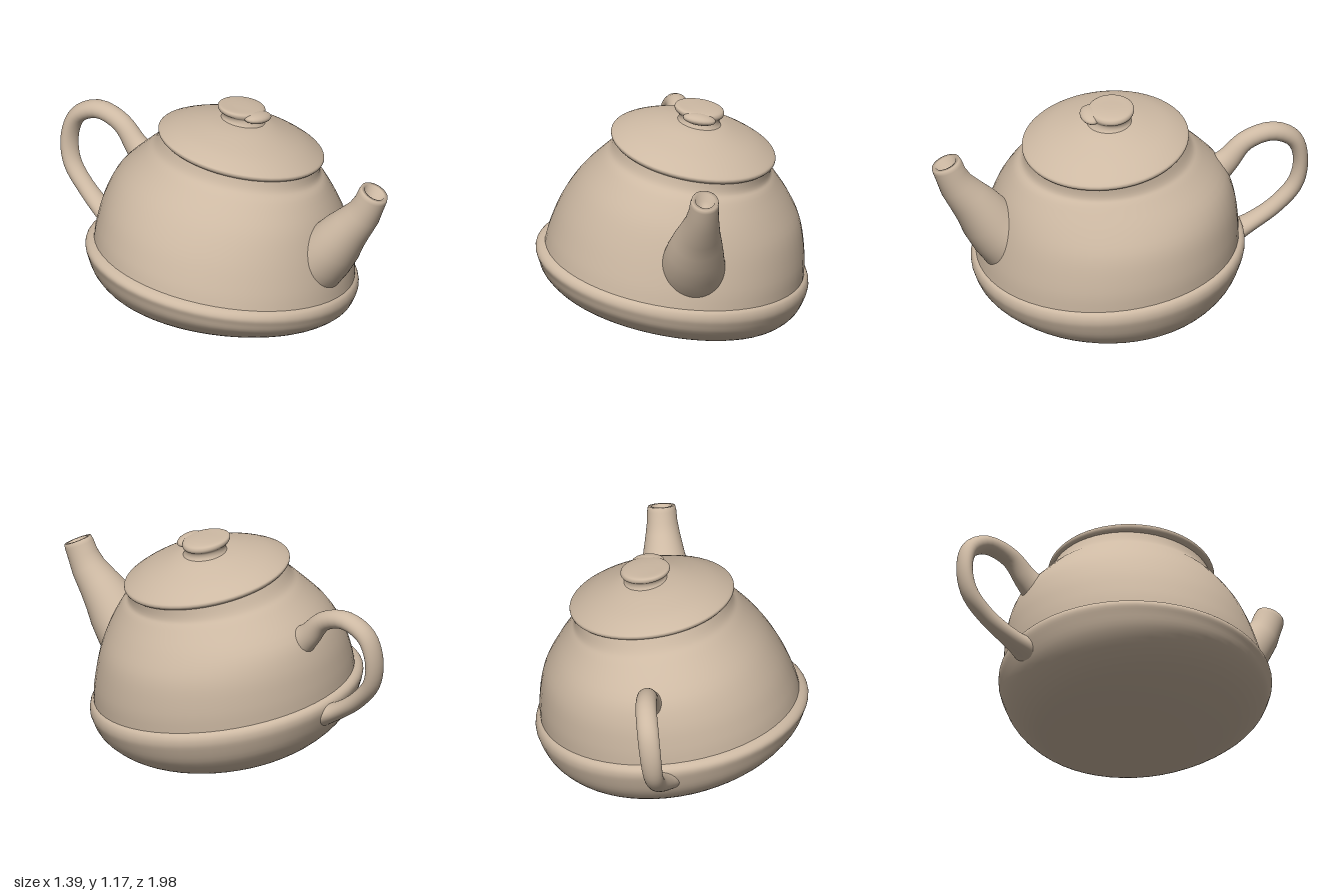
import * as THREE from 'three';

const clay = new THREE.MeshStandardMaterial({ color: 0xcdb9a3, roughness: 0.9, side: THREE.DoubleSide });
const SIDES = 56;

// Skin a list of closed rings (each an array of SIDES points, ordered upward)
function loft(name, rings) {
  const pos = [], idx = [];
  rings.forEach((ring) => ring.forEach((p) => pos.push(p.x, p.y, p.z)));
  for (let i = 0; i < rings.length - 1; i++) {
    for (let j = 0; j < SIDES; j++) {
      const k = (j + 1) % SIDES;
      const a = i * SIDES + j, b = a + SIDES, c = (i + 1) * SIDES + k, d = i * SIDES + k;
      idx.push(a, b, c, a, c, d);
    }
  }
  const g = new THREE.BufferGeometry();
  g.setAttribute('position', new THREE.Float32BufferAttribute(pos, 3));
  g.setIndex(idx);
  g.computeVertexNormals();
  const mesh = new THREE.Mesh(g, clay);
  mesh.name = name;
  return mesh;
}

// Smoothly interpolate rows of numbers, adding steps between each pair
function refine(rows, steps) {
  const out = [], at = (i) => rows[Math.min(Math.max(i, 0), rows.length - 1)];
  for (let i = 0; i < rows.length - 1; i++) {
    for (let s = 0; s < steps; s++) {
      const t = s / steps;
      out.push(rows[i].map((p1, n) => {
        const p0 = at(i - 1)[n], p2 = at(i + 1)[n], p3 = at(i + 2)[n];
        return p1 + 0.5 * t * (p2 - p0 + t * (2 * p0 - 5 * p1 + 4 * p2 - p3 + t * (3 * (p1 - p2) + p3 - p0)));
      }));
    }
  }
  out.push(rows[rows.length - 1]);
  return out;
}

// Leaning rings: centre x, y, z, radius x, radius z, slope along x, slope along z
function leaning(name, rows, steps = 4) {
  return loft(name, refine(rows, steps).map(([cx, cy, cz, rx, rz, sx, sz]) =>
    Array.from({ length: SIDES }, (_, j) => {
      const a = (j / SIDES) * Math.PI * 2;
      const dx = Math.cos(a) * rx, dz = Math.sin(a) * rz;
      return new THREE.Vector3(cx + dx, cy + sx * dx + sz * dz, cz + dz);
    })));
}

// Tapered sweep: sections are [t along path, radius sideways, radius in the bend plane]
function sweep(name, path, sections, steps = 1) {
  const curve = new THREE.CatmullRomCurve3(path.map((p) => new THREE.Vector3(...p)));
  return loft(name, refine(sections, steps).map(([t, rs, rb]) => {
    const u = Math.min(Math.max(t, 0), 1);
    const c = curve.getPoint(u), tan = curve.getTangent(u);
    const side = new THREE.Vector3(1, 0, 0).addScaledVector(tan, -tan.x).normalize();
    const bend = side.clone().cross(tan);
    return Array.from({ length: SIDES }, (_, j) => {
      const a = (j / SIDES) * Math.PI * 2;
      return c.clone().addScaledVector(side, Math.cos(a) * rs).addScaledVector(bend, Math.sin(a) * rb);
    });
  }));
}

export function createModel() {
  const teapot = new THREE.Group();
  teapot.name = 'teapot';

  // Rounded base up to the protruding rim
  teapot.add(leaning('base', [
    [0.00, 0.050, 0.05, 0.001, 0.001, -0.10, 0],
    [0.00, 0.055, 0.05, 0.25, 0.25, -0.11, 0],
    [-0.01, 0.078, 0.05, 0.46, 0.46, -0.16, 0],
    [-0.02, 0.122, 0.05, 0.57, 0.57, -0.18, -0.02],
    [-0.01, 0.195, 0.055, 0.65, 0.655, -0.17, -0.04],
    [0.00, 0.27, 0.05, 0.685, 0.69, -0.15, -0.07],
    [0.00, 0.31, 0.05, 0.695, 0.698, -0.144, -0.08],
    [0.005, 0.338, 0.052, 0.682, 0.688, -0.14, -0.08],
    [0.012, 0.352, 0.055, 0.655, 0.665, -0.14, -0.08],
  ]));

  // Domed body and neck
  teapot.add(leaning('body', [
    [0.012, 0.345, 0.055, 0.66, 0.67, -0.14, -0.08],
    [0.025, 0.44, 0.05, 0.65, 0.66, -0.12, -0.08],
    [0.042, 0.585, 0.04, 0.612, 0.63, -0.10, -0.06],
    [0.06, 0.715, 0.04, 0.54, 0.58, -0.12, -0.05],
    [0.085, 0.835, 0.065, 0.445, 0.485, -0.15, -0.07],
    [0.097, 0.88, 0.068, 0.407, 0.435, -0.17, -0.08],
    [0.11, 0.94, 0.078, 0.395, 0.41, -0.175, -0.09],
  ]));

  // Lid with a thin overhanging edge
  teapot.add(leaning('lid', [
    [0.11, 0.925, 0.08, 0.385, 0.39, -0.175, -0.095],
    [0.11, 0.94, 0.08, 0.41, 0.415, -0.175, -0.095],
    [0.11, 0.957, 0.08, 0.419, 0.426, -0.175, -0.095],
    [0.11, 0.975, 0.08, 0.405, 0.412, -0.175, -0.095],
    [0.115, 1.02, 0.08, 0.32, 0.325, -0.175, -0.09],
    [0.125, 1.06, 0.078, 0.20, 0.20, -0.175, -0.08],
    [0.135, 1.078, 0.076, 0.11, 0.11, -0.17, -0.06],
    [0.135, 1.085, 0.076, 0.001, 0.001, -0.17, -0.06],
  ]));

  // Button knob on a short waist, with a pressed lump at its front
  teapot.add(leaning('knob', [
    [0.14, 1.05, 0.065, 0.135, 0.13, -0.18, -0.06],
    [0.14, 1.085, 0.065, 0.105, 0.11, -0.18, -0.06],
    [0.14, 1.112, 0.06, 0.105, 0.105, -0.17, -0.06],
    [0.14, 1.125, 0.055, 0.122, 0.113, -0.16, -0.06],
    [0.14, 1.142, 0.055, 0.126, 0.117, -0.16, -0.06],
    [0.14, 1.155, 0.055, 0.112, 0.105, -0.14, -0.06],
    [0.14, 1.160, 0.055, 0.05, 0.05, -0.10, -0.05],
    [0.14, 1.161, 0.055, 0.001, 0.001, -0.10, -0.05],
  ]));
  const lump = new THREE.Mesh(new THREE.SphereGeometry(1, 20, 12), clay);
  lump.name = 'knobLump';
  lump.scale.set(0.085, 0.028, 0.055);
  lump.position.set(0.145, 1.122, 0.162);
  lump.rotation.z = -0.16;
  teapot.add(lump);

  // Spout, ending in a lip that turns into a shallow opening
  teapot.add(sweep('spout', [
    [0.13, 0.42, 0.54], [0.14, 0.52, 0.65], [0.165, 0.66, 0.75],
    [0.195, 0.80, 0.86], [0.213, 0.935, 0.92],
  ], [
    [0, 0.17, 0.17], [0.12, 0.168, 0.165], [0.25, 0.16, 0.15], [0.38, 0.146, 0.138],
    [0.5, 0.127, 0.122], [0.62, 0.106, 0.105], [0.75, 0.088, 0.09], [0.87, 0.077, 0.081],
    [0.96, 0.074, 0.08], [1, 0.069, 0.076], [1, 0.05, 0.056], [0.93, 0.042, 0.046], [0.92, 0.001, 0.001],
  ]));

  // Looped handle, flaring where it joins the body
  teapot.add(sweep('handle', [
    [0.015, 0.68, -0.47], [0.01, 0.755, -0.56], [0, 0.855, -0.66], [-0.02, 0.89, -0.80],
    [-0.05, 0.83, -0.915], [-0.07, 0.71, -0.955], [-0.08, 0.57, -0.93],
    [-0.08, 0.455, -0.83], [-0.08, 0.36, -0.69], [-0.07, 0.31, -0.58],
  ], [
    [0, 0.085, 0.09], [0.11, 0.06, 0.065], [0.22, 0.052, 0.05], [0.4, 0.055, 0.046],
    [0.55, 0.055, 0.038], [0.7, 0.05, 0.042], [0.8, 0.05, 0.043], [0.9, 0.066, 0.046], [1, 0.1, 0.06],
  ], 6));

  return teapot;
}
